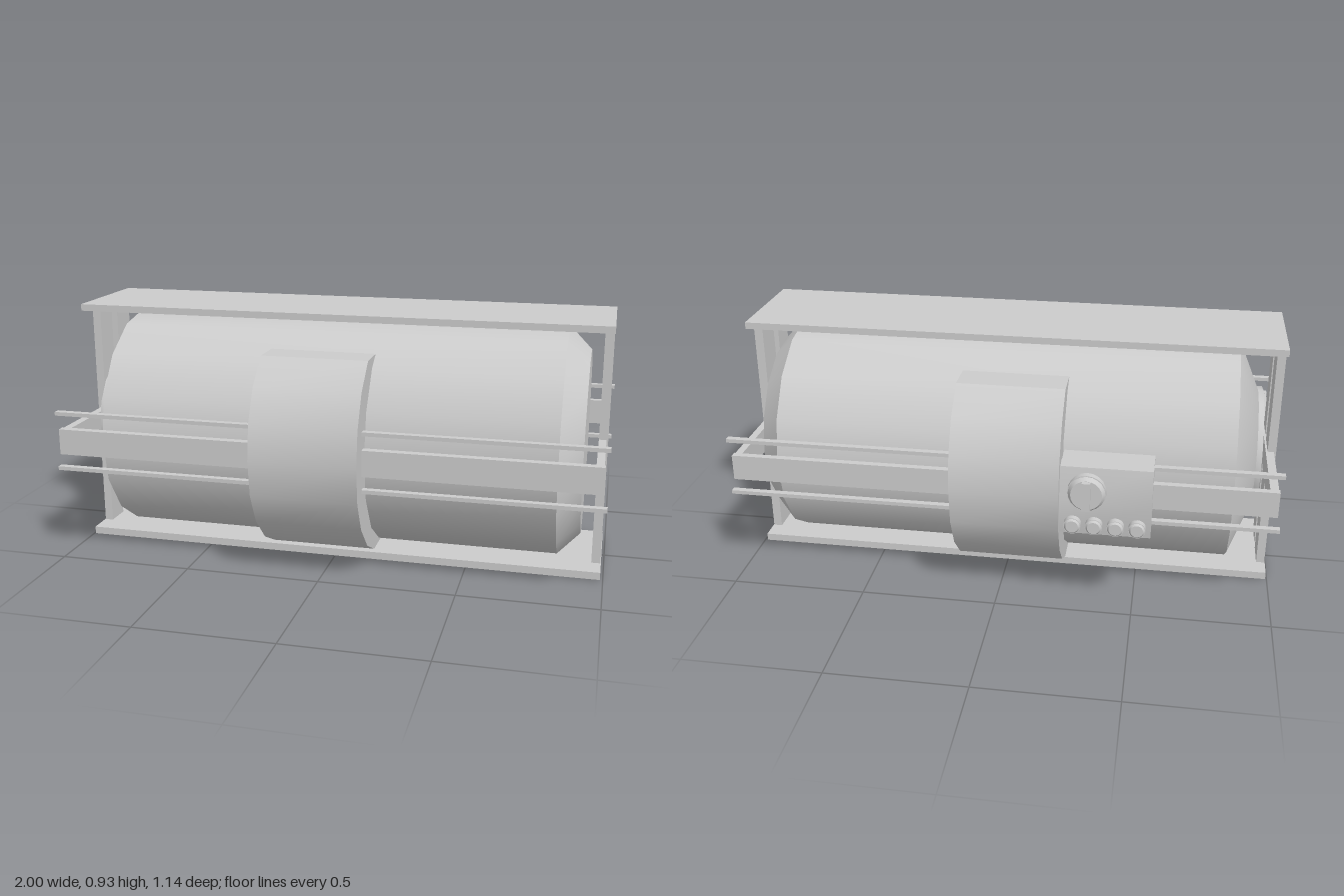
import * as THREE from 'three';
import { toCreasedNormals } from 'three/addons/utils/BufferGeometryUtils.js';

const CY = 0.46, CZ = 0.03; // tank axis

export function createModel() {
  const model = new THREE.Group();
  const mat = new THREE.MeshStandardMaterial({ color: 0xcccccc });

  const add = (name, geo, parent = model) => {
    const mesh = new THREE.Mesh(geo, mat);
    mesh.name = name;
    parent.add(mesh);
    return mesh;
  };
  // box given by its limits on each axis
  const box = (name, x0, x1, y0, y1, z0, z1, parent) => {
    const mesh = add(name, new THREE.BoxGeometry(x1 - x0, y1 - y0, z1 - z0), parent);
    mesh.position.set((x0 + x1) / 2, (y0 + y1) / 2, (z0 + z1) / 2);
    return mesh;
  };
  // [z, y] outline extruded along x
  const prism = (name, outline, x0, x1, parent) => {
    const shape = new THREE.Shape(outline.map(([z, y]) => new THREE.Vector2(-z, y)));
    const geo = new THREE.ExtrudeGeometry(shape, { depth: x1 - x0, bevelEnabled: false });
    geo.rotateY(Math.PI / 2).translate(x0, 0, 0);
    return add(name, toCreasedNormals(geo, 0.45), parent);
  };
  // disc whose axis is z
  const disc = (name, r0, r1, x, y, z0, z1, parent) => {
    const geo = new THREE.CylinderGeometry(r0, r1, z1 - z0, 20).rotateX(-Math.PI / 2);
    const mesh = add(name, geo, parent);
    mesh.position.set(x, y, (z0 + z1) / 2);
    return mesh;
  };

  // tank with a long cone on one end and a short one on the other
  const profile = [[0, -0.917], [0.23, -0.917], [0.425, -0.835], [0.425, 0.83], [0.343, 0.91], [0, 0.91]]
    .map(([r, x]) => new THREE.Vector2(r, x));
  const tankGeo = new THREE.LatheGeometry(profile, 16).rotateZ(-Math.PI / 2);
  add('tank', toCreasedNormals(tankGeo, 0.5)).position.set(0, CY, CZ);
  const capGeo = new THREE.CylinderGeometry(0.23, 0.23, 0.03, 16).rotateZ(-Math.PI / 2);
  add('tankEndCap', toCreasedNormals(capGeo, 0.5)).position.set(-0.922, CY, CZ);

  // thick band round the middle, cut flat above and below
  const half = [[0.247, 0.055], [0.365, 0.113], [0.465, 0.21], [0.525, 0.325],
    [0.543, 0.46], [0.525, 0.59], [0.465, 0.71], [0.365, 0.8]];
  const outline = [
    ...half.map(([z, y]) => [CZ + z, y]),
    ...half.slice().reverse().map(([z, y]) => [CZ - z, y]),
  ];
  prism('middleBand', outline, -0.23, 0.16);

  // top and bottom plates joined by paired end posts
  box('topPlate', -0.995, 0.99, 0.905, 0.93, -0.18, 0.245);
  box('bottomPlate', -0.995, 0.99, 0, 0.028, -0.18, 0.245);
  for (const [x0, x1] of [[-0.993, -0.962], [0.955, 0.988]]) {
    for (const [z0, z1] of [[0.055, 0.155], [-0.104, 0.008]]) {
      box('endPost', x0, x1, 0.028, 0.905, z0, z1);
    }
  }

  // rectangular rail frame round the tank
  const frame = new THREE.Group();
  frame.name = 'railFrame';
  model.add(frame);
  box('frontRail', -0.988, 0.985, 0.408, 0.504, 0.465, 0.495, frame);
  box('backRail', -0.988, 0.985, 0.408, 0.504, -0.44, -0.415, frame);
  box('endRail', -0.985, -0.955, 0.41, 0.502, -0.42, 0.47, frame);
  box('endRail', 0.955, 0.982, 0.41, 0.502, -0.42, 0.47, frame);

  // thin rods above and below the rails
  for (const y of [0.346, 0.556]) {
    box('frontRod', -1, 1, y, y + 0.014, 0.47, 0.495);
    box('backRod', -1, 1, y, y + 0.014, -0.44, -0.417);
  }

  // control box on the back with one dial and a row of knobs
  const controls = new THREE.Group();
  controls.name = 'controlBox';
  model.add(controls);
  prism('controlHousing', [[-0.38, 0.33], [-0.38, 0.588], [-0.511, 0.588],
    [-0.532, 0.46], [-0.511, 0.33]].reverse(), -0.555, -0.235, controls);
  disc('dialBase', 0.068, 0.068, -0.33, 0.502, -0.54, -0.515, controls);
  disc('dialRim', 0.055, 0.065, -0.33, 0.502, -0.555, -0.54, controls)
    .rotation.y = Math.PI;
  controls.children[2].rotation.y = 0;
  box('dialHandle', -0.345, -0.315, 0.45, 0.555, -0.572, -0.55, controls);
  for (let i = 0; i < 4; i++) {
    const x = -0.508 + i * 0.075;
    disc('knob', 0.03, 0.03, x, 0.375, -0.545, -0.5, controls);
    disc('knobTop', 0.022, 0.028, x, 0.375, -0.552, -0.545, controls);
  }
  return model;
}
